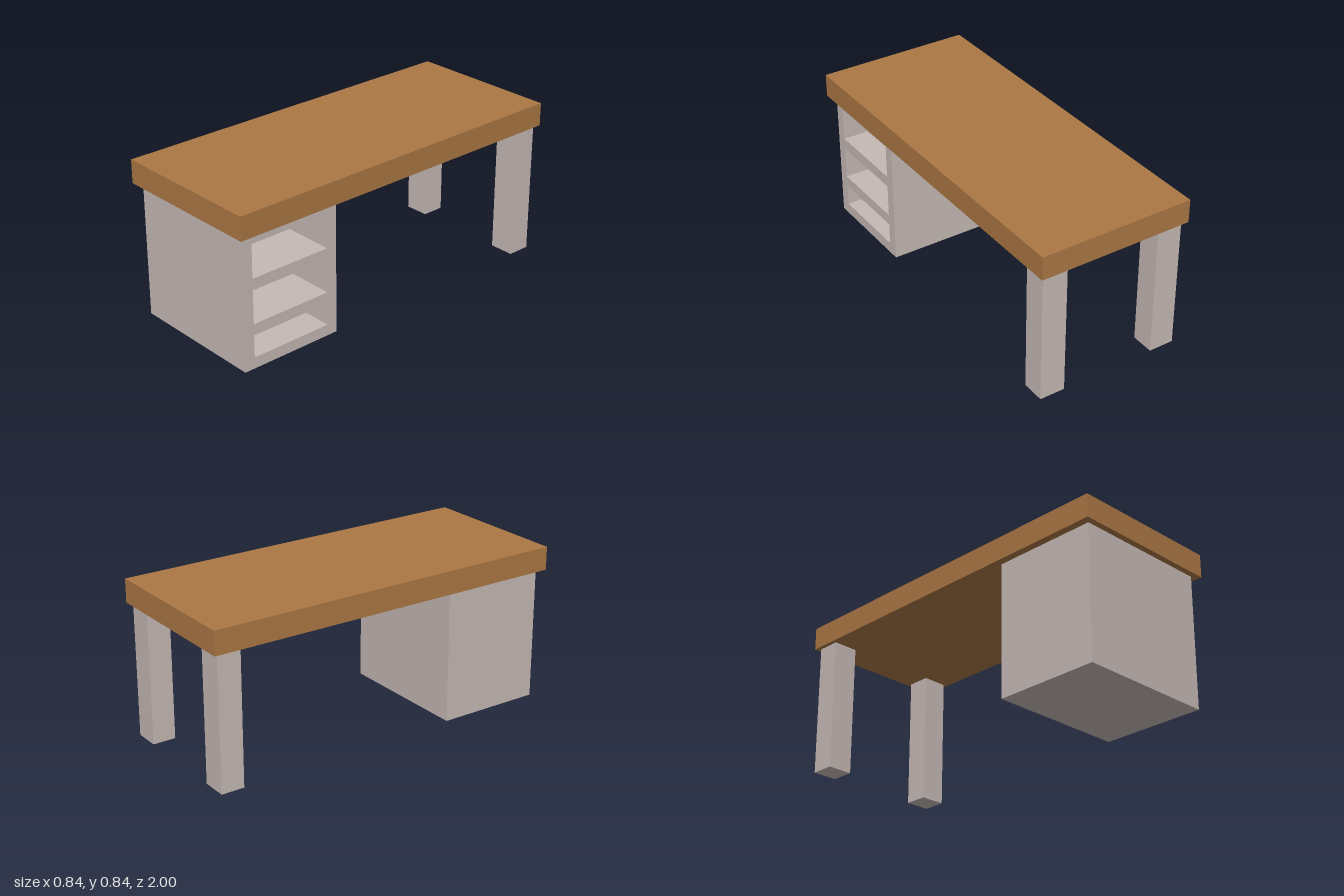
import * as THREE from 'three';

export function createModel() {
  const desk = new THREE.Group();
  desk.name = 'desk';

  const wood = new THREE.MeshStandardMaterial({ color: 0xab7744 });
  wood.name = 'brown wood';
  const paint = new THREE.MeshStandardMaterial({ color: 0xc5b9b5 });
  paint.name = 'pale grey paint';

  const UNDERSIDE = 0.717;

  function add(name, geometry, material, x, y, z) {
    const mesh = new THREE.Mesh(geometry, material);
    mesh.name = name;
    mesh.position.set(x, y, z);
    desk.add(mesh);
    return mesh;
  }

  // Thick table top
  add('tableTop', new THREE.BoxGeometry(0.837, 0.125, 2), wood, 0, UNDERSIDE + 0.0625, 0);

  // Pair of legs at the back end
  for (const [side, name] of [[1, 'leftLeg'], [-1, 'rightLeg']]) {
    add(name, new THREE.BoxGeometry(0.137, UNDERSIDE, 0.125), paint, side * 0.328, UNDERSIDE / 2, -0.912);
  }

  // Cabinet body: side profile with three open compartments, extruded along x
  const rect = (path, halfWidth, y0, y1) => path
    .moveTo(-halfWidth, y0).lineTo(halfWidth, y0)
    .lineTo(halfWidth, y1).lineTo(-halfWidth, y1).closePath();
  const profile = new THREE.Shape();
  rect(profile, 0.286, 0, UNDERSIDE);
  for (const [y0, y1] of [[0.06, 0.18], [0.24, 0.42], [0.48, 0.66]]) {
    const hole = new THREE.Path();
    rect(hole, 0.228, y0, y1);
    profile.holes.push(hole);
  }
  const body = new THREE.ExtrudeGeometry(profile, { depth: 0.698, bevelEnabled: false });
  body.rotateY(Math.PI / 2);
  add('cabinetBody', body, paint, -0.32, 0, 0.681);

  // Closed panel behind the compartments
  add('cabinetBackPanel', new THREE.BoxGeometry(0.058, UNDERSIDE, 0.572), paint, -0.349, UNDERSIDE / 2, 0.681);

  return desk;
}
